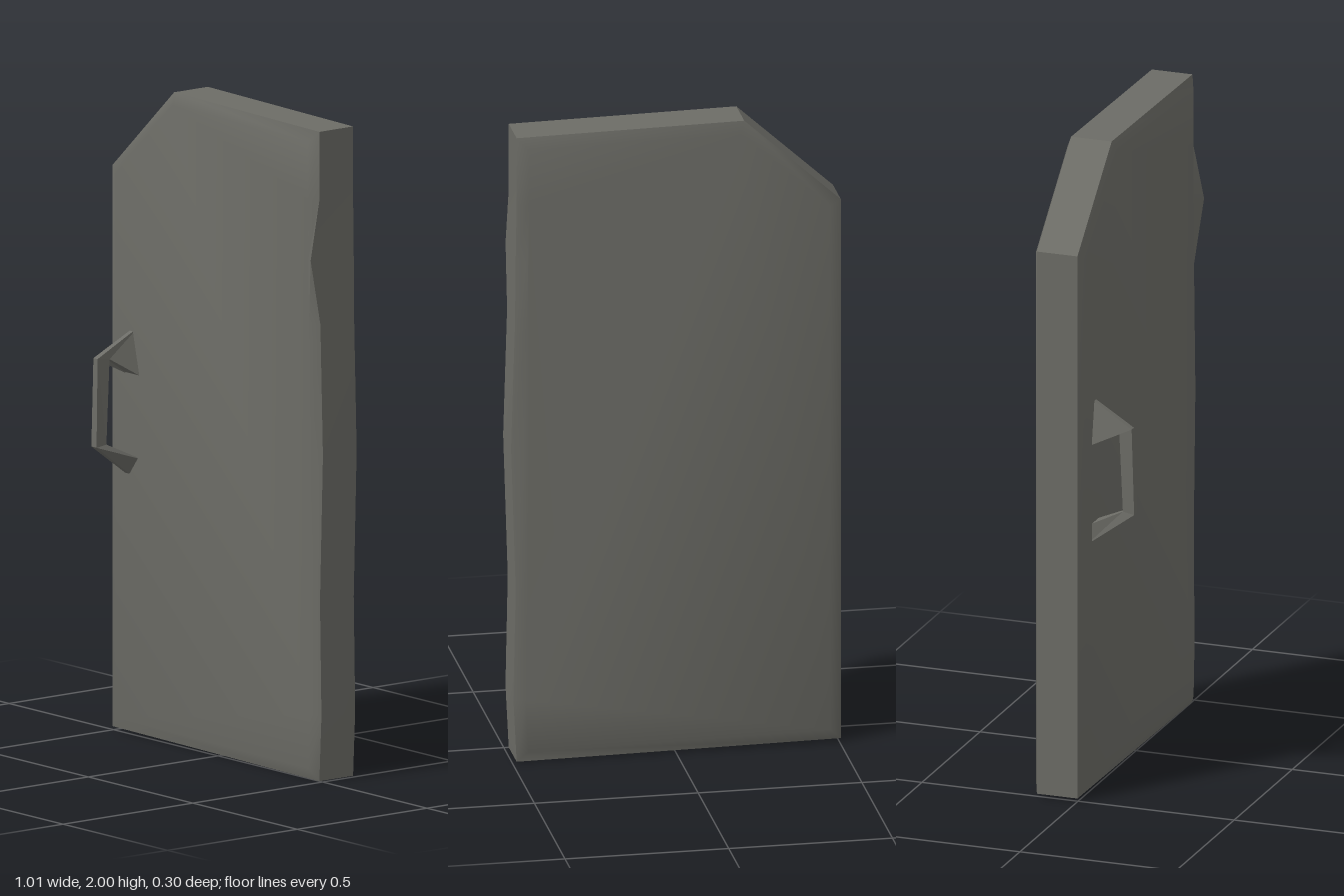
import * as THREE from 'three';
import { toCreasedNormals } from 'three/addons/utils/BufferGeometryUtils.js';

// Door slab with one cut top corner and a slightly warped hinge edge
function makePanel(material) {
  const outline = [
    [-0.505, 0.01], [0.485, 0], [0.495, 0.2], [0.488, 0.55], [0.502, 1.0],
    [0.49, 1.4], [0.488, 1.6], [0.485, 1.78], [0.485, 1.99], [-0.21, 2], [-0.505, 1.73],
  ].map(([x, y]) => new THREE.Vector2(x, y));
  const geometry = new THREE.ExtrudeGeometry(new THREE.Shape(outline), {
    depth: 0.13, bevelThickness: 0.016, bevelSize: 0.035, bevelOffset: -0.035, bevelSegments: 1,
  });
  geometry.translate(0, 0, -0.13);

  // Bent front lip near the top of the hinge edge
  const p = geometry.attributes.position;
  for (let i = 0; i < p.count; i++) {
    const bend = Math.max(0, 1 - Math.abs(p.getY(i) - 1.6) / 0.17);
    if (p.getX(i) > 0.47 && p.getZ(i) > -0.05) p.setZ(i, p.getZ(i) + 0.036 * bend);
  }
  const panel = new THREE.Mesh(toCreasedNormals(geometry, 0.6), material);
  panel.name = 'doorPanel';
  return panel;
}

// Angular pull handle: four-cornered sections from the top foot to the bottom foot
function makeHandle(material) {
  // corners of each section: outer left, outer right, inner right, inner left
  const sections = [
    [[-0.4, 1.25, 0], [-0.385, 1.25, 0], [-0.35, 1.1, 0], [-0.425, 1.1, 0]],
    [[-0.42, 1.17, 0.142], [-0.4, 1.17, 0.142], [-0.395, 1.165, 0.1], [-0.415, 1.165, 0.1]],
    [[-0.42, 0.9, 0.15], [-0.395, 0.9, 0.15], [-0.395, 0.905, 0.112], [-0.415, 0.905, 0.112]],
    [[-0.425, 0.79, 0], [-0.405, 0.79, 0], [-0.36, 0.85, 0], [-0.425, 0.85, 0]],
  ];
  const points = [];
  for (let i = 0; i < sections.length - 1; i++) {
    for (let k = 0; k < 4; k++) {
      const n = (k + 1) % 4;
      const a = sections[i][k], b = sections[i + 1][k], c = sections[i + 1][n], d = sections[i][n];
      points.push(...a, ...b, ...c, ...a, ...c, ...d);
    }
  }
  const geometry = new THREE.BufferGeometry();
  geometry.setAttribute('position', new THREE.Float32BufferAttribute(points, 3));
  geometry.computeVertexNormals();
  const handle = new THREE.Mesh(geometry, material);
  handle.name = 'handle';
  return handle;
}

export function createModel() {
  const grey = new THREE.MeshStandardMaterial({ color: 0x6c6c66 });
  grey.name = 'darkGrey';
  const group = new THREE.Group();
  group.name = 'door';
  group.add(makePanel(grey), makeHandle(grey));
  return group;
}
